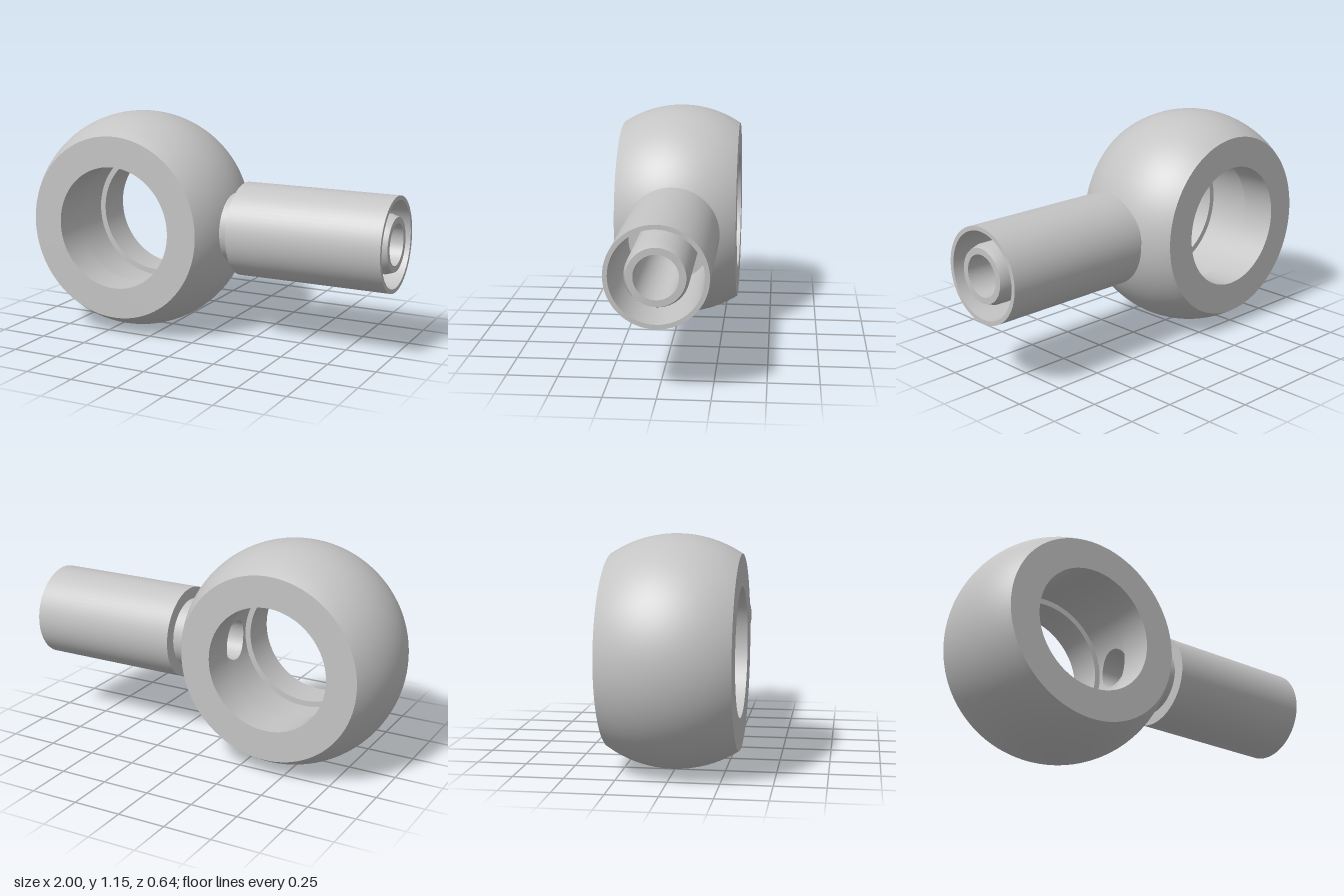
import * as THREE from 'three';
import { toCreasedNormals } from 'three/addons/utils/BufferGeometryUtils.js';
import { ParametricGeometry } from 'three/addons/geometries/ParametricGeometry.js';

const CX = -0.425, CY = 0.577;      // centre of the eye
const R = 0.575, HALF = 0.318;      // ball radius, half thickness
const BORE = 0.32, GROOVE = 0.35, GROOVE_HALF = 0.13;
const HOLE = 0.105;                 // fluid passage radius

const vec = ([r, h]) => new THREE.Vector2(r, h);
const lathe = (pts, seg, start = 0, len = Math.PI * 2) =>
  new THREE.LatheGeometry(pts.map(vec), seg, start, len);
const crease = (g) => toCreasedNormals(g, 0.4);

export function createModel() {
  const model = new THREE.Group();
  const steel = new THREE.MeshStandardMaterial({ color: 0xc4c4c4 });
  steel.name = 'steel';
  const add = (name, geometry, parent) => {
    const mesh = new THREE.Mesh(geometry, steel);
    mesh.name = name;
    parent.add(mesh);
  };

  // Eye: ball cut flat front and back, bored through along z
  const eye = new THREE.Group();
  eye.name = 'eye';
  eye.position.set(CX, CY, 0);
  model.add(eye);

  const profile = [[GROOVE, -GROOVE_HALF], [BORE, -GROOVE_HALF], [BORE, -HALF]];
  const cut = Math.asin(HALF / R);
  for (let i = 0; i <= 24; i++) {
    const a = -cut + (2 * cut * i) / 24;
    profile.push([R * Math.cos(a), R * Math.sin(a)]);
  }
  profile.push([BORE, HALF], [BORE, GROOVE_HALF], [GROOVE, GROOVE_HALF]);
  add('eyeBody', crease(lathe(profile, 96).rotateX(Math.PI / 2)), eye);

  // Groove wall inside the bore, leaving a gap for the drilled patch
  const gap = GROOVE_HALF / GROOVE;
  add('grooveWall', lathe([[GROOVE, GROOVE_HALF], [GROOVE, -GROOVE_HALF]], 84,
    Math.PI / 2 + gap, Math.PI * 2 - 2 * gap).rotateX(Math.PI / 2), eye);

  // Curved patch blending from the round hole to the square gap
  add('drilledPatch', new ParametricGeometry((u, v, target) => {
    const t = u * Math.PI * 2, c = Math.cos(t), s = Math.sin(t);
    const m = Math.max(Math.abs(c), Math.abs(s));
    const angle = THREE.MathUtils.lerp(Math.asin(HOLE * c / GROOVE), gap * c / m, v);
    const z = THREE.MathUtils.lerp(HOLE * s, GROOVE_HALF * s / m, v);
    target.set(GROOVE * Math.cos(angle), GROOVE * Math.sin(angle), z);
  }, 64, 4), eye);

  // Stem: neck, crimp sleeve and inner nipple turned about x
  const stem = new THREE.Group();
  stem.name = 'stem';
  stem.position.y = CY;
  model.add(stem);
  add('neckSleeveAndNipple', crease(lathe([
    [0.18, 0.08], [0.18, 0.185],                 // neck
    [0.242, 0.185], [0.242, 1], [0.22, 1],       // sleeve
    [0.21, 0.3], [0.15, 0.3],                    // cavity
    [0.15, 0.96], [0.137, 1], [HOLE, 1],         // nipple
  ], 64).rotateZ(-Math.PI / 2)), stem);

  // Passage wall, its inner end trimmed to the groove's curve
  const passage = lathe([[HOLE, 1], [HOLE, 0]], 64).rotateZ(-Math.PI / 2);
  const p = passage.attributes.position;
  for (let i = 0; i < p.count; i++) {
    if (p.getX(i) < 0.5) p.setX(i, CX + Math.sqrt(GROOVE ** 2 - p.getY(i) ** 2));
  }
  add('passage', passage, stem);

  return model;
}
